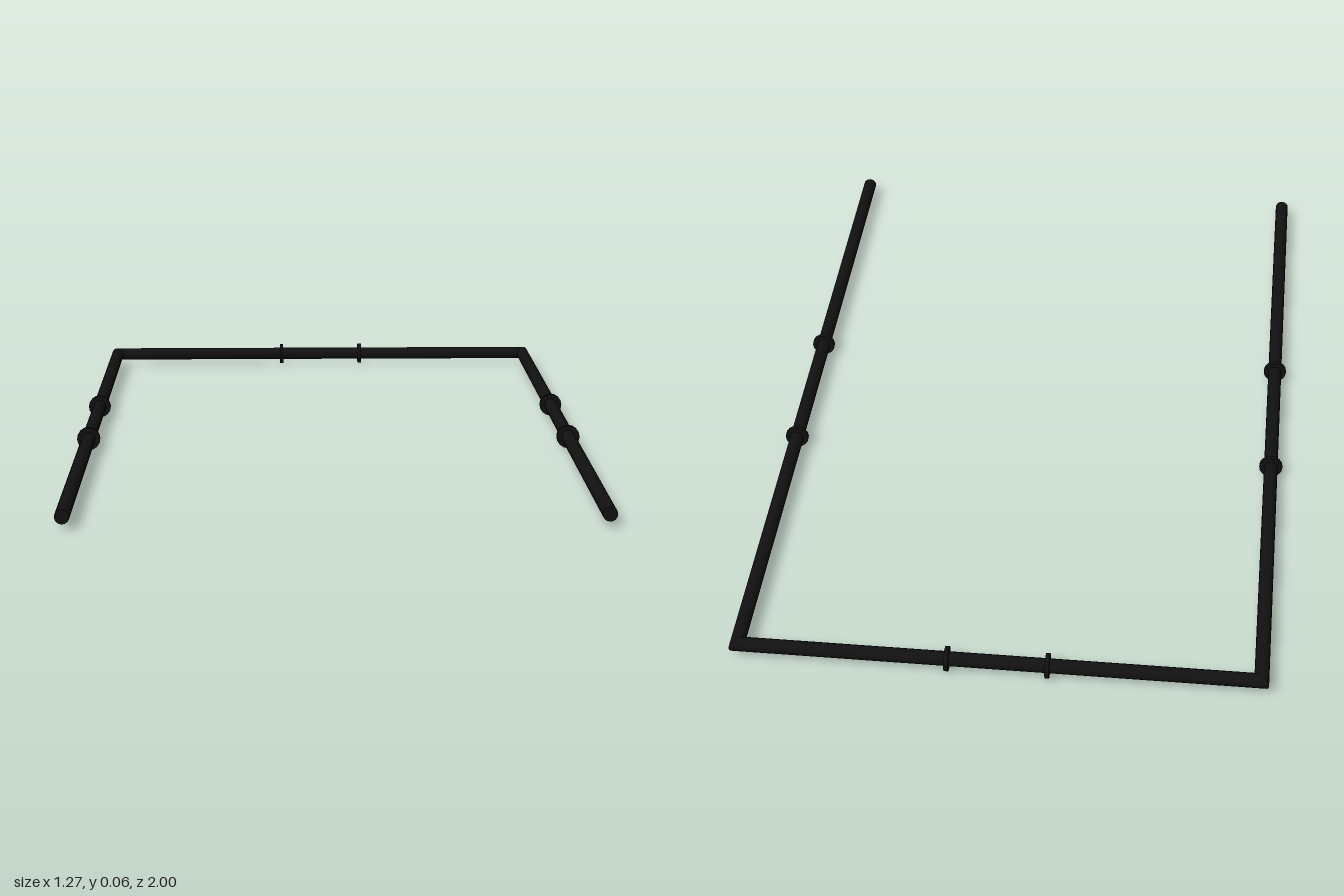
import * as THREE from 'three';

const R = 0.017;        // bar radius
const COLLAR_R = 0.029; // collar radius, also the height of the bar axis
const X = 0.604;        // side bar axis
const BACK = -0.971;    // back bar axis
const FRONT = 1;

const material = new THREE.MeshStandardMaterial({ color: 0x111111 });

function addMesh(group, name, geometry, x, z) {
  const mesh = new THREE.Mesh(geometry, material);
  mesh.name = name;
  mesh.position.set(x, COLLAR_R, z);
  group.add(mesh);
}

// Thin disc around a bar
function collarGeometry(alongX) {
  const g = new THREE.CylinderGeometry(COLLAR_R, COLLAR_R, 0.01, 16);
  return alongX ? g.rotateZ(Math.PI / 2) : g.rotateX(Math.PI / 2);
}

// Side bar, its back end cut at 45 degrees to meet the back bar
function sideBarGeometry(side) {
  const g = new THREE.CylinderGeometry(R, R, FRONT - BACK, 16, 1, true);
  g.rotateX(Math.PI / 2).translate(0, 0, (FRONT + BACK) / 2);
  const p = g.attributes.position;
  for (let i = 0; i < p.count; i++) {
    if (p.getZ(i) < 0) p.setZ(i, BACK - side * p.getX(i));
  }
  return g;
}

// Back bar, mitred at both ends
function backBarGeometry() {
  const g = new THREE.CylinderGeometry(R, R, 2 * X, 16, 1, true);
  g.rotateZ(Math.PI / 2);
  const p = g.attributes.position;
  for (let i = 0; i < p.count; i++) {
    p.setX(i, Math.sign(p.getX(i)) * (X - p.getZ(i)));
  }
  return g;
}

export function createModel() {
  const model = new THREE.Group();
  model.name = 'openBarFrame';

  addMesh(model, 'backBar', backBarGeometry(), 0, BACK);

  for (const side of [-1, 1]) {
    const label = side > 0 ? 'left' : 'right';
    addMesh(model, label + 'Bar', sideBarGeometry(side), side * X, 0);
    addMesh(model, label + 'BarEnd', new THREE.CircleGeometry(R, 16), side * X, FRONT);

    // Collars in pairs on every bar
    addMesh(model, label + 'BackCollar', collarGeometry(true), side * 0.116, BACK);
    for (const z of [-0.198, 0.202]) {
      addMesh(model, label + 'SideCollar', collarGeometry(false), side * X, z);
    }
  }
  return model;
}
